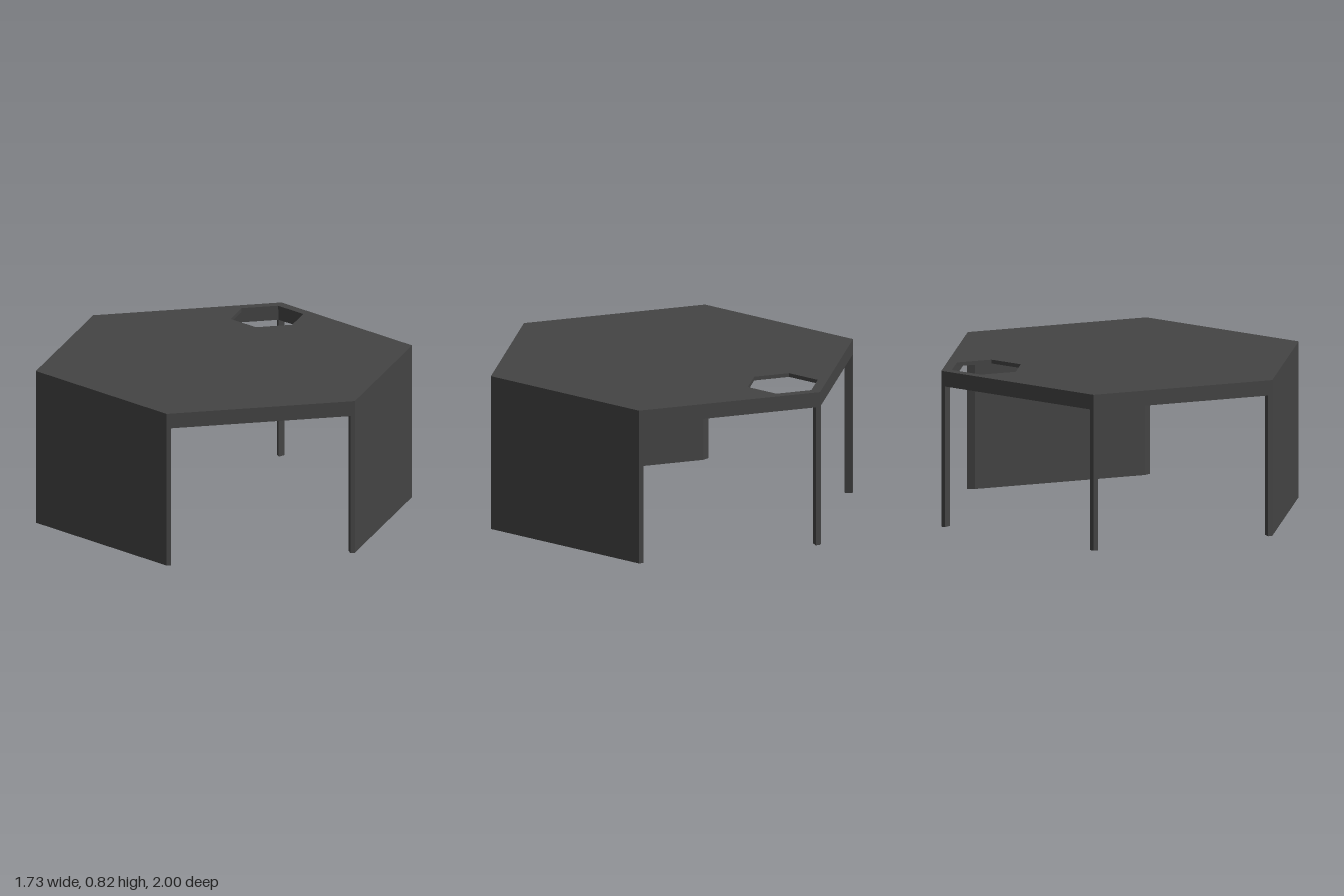
import * as THREE from 'three';

const HEIGHT = 0.825, OPENING = 0.745, ROOF = 0.02, WALL = 0.041;
const INNER = 1 - WALL / Math.cos(Math.PI / 6); // corner radius of the inner hexagon
const RETURN = WALL * Math.tan(Math.PI / 6);    // short return of a wall around its corner

// Corner k of a hexagon in plan, counted from the front; the plan's y is -z.
const corner = (k, r = 1, cy = 0) => {
  const a = (k * Math.PI) / 3;
  return new THREE.Vector2(r * Math.sin(a), cy - r * Math.cos(a));
};
const hexagon = (r, cy) => [0, 1, 2, 3, 4, 5].map((k) => corner(k, r, cy));

// Point on the outer edge a little way from corner k towards corner n
const along = (k, n) => corner(k).lerp(corner(n), RETURN);

export function createModel() {
  const model = new THREE.Group();
  const material = new THREE.MeshStandardMaterial({ color: 0x444444 });

  // Upright prism over a plan outline
  const prism = (name, outline, bottom, top, hole) => {
    const shape = new THREE.Shape(outline);
    if (hole) shape.holes.push(new THREE.Path(hole));
    const geometry = new THREE.ExtrudeGeometry(shape, { depth: top - bottom, bevelEnabled: false });
    geometry.rotateX(-Math.PI / 2).translate(0, bottom, 0);
    const mesh = new THREE.Mesh(geometry, material);
    mesh.name = name;
    model.add(mesh);
  };

  // Thin roof with a hexagonal opening near the back corner
  prism('roof', hexagon(1), HEIGHT - ROOF, HEIGHT, hexagon(0.193, 0.748));

  // Rim hanging below the roof
  prism('rim', hexagon(1), OPENING, HEIGHT - ROOF, hexagon(INNER));

  // Two solid walls, wrapping slightly around their corners
  for (const [name, k] of [['leftWall', 1], ['frontRightWall', 5]]) {
    prism(name, [
      along(k, k - 1), corner(k), corner(k + 1), along(k + 1, k + 2),
      corner(k + 1, INNER), corner(k, INNER),
    ], 0, OPENING);
  }

  // Kite-shaped corner posts at the open back
  for (const [name, k] of [['backPost', 3], ['backRightPost', 4]]) {
    prism(name, [along(k, k - 1), corner(k), along(k, k + 1), corner(k, INNER)], 0, OPENING);
  }

  return model;
}
